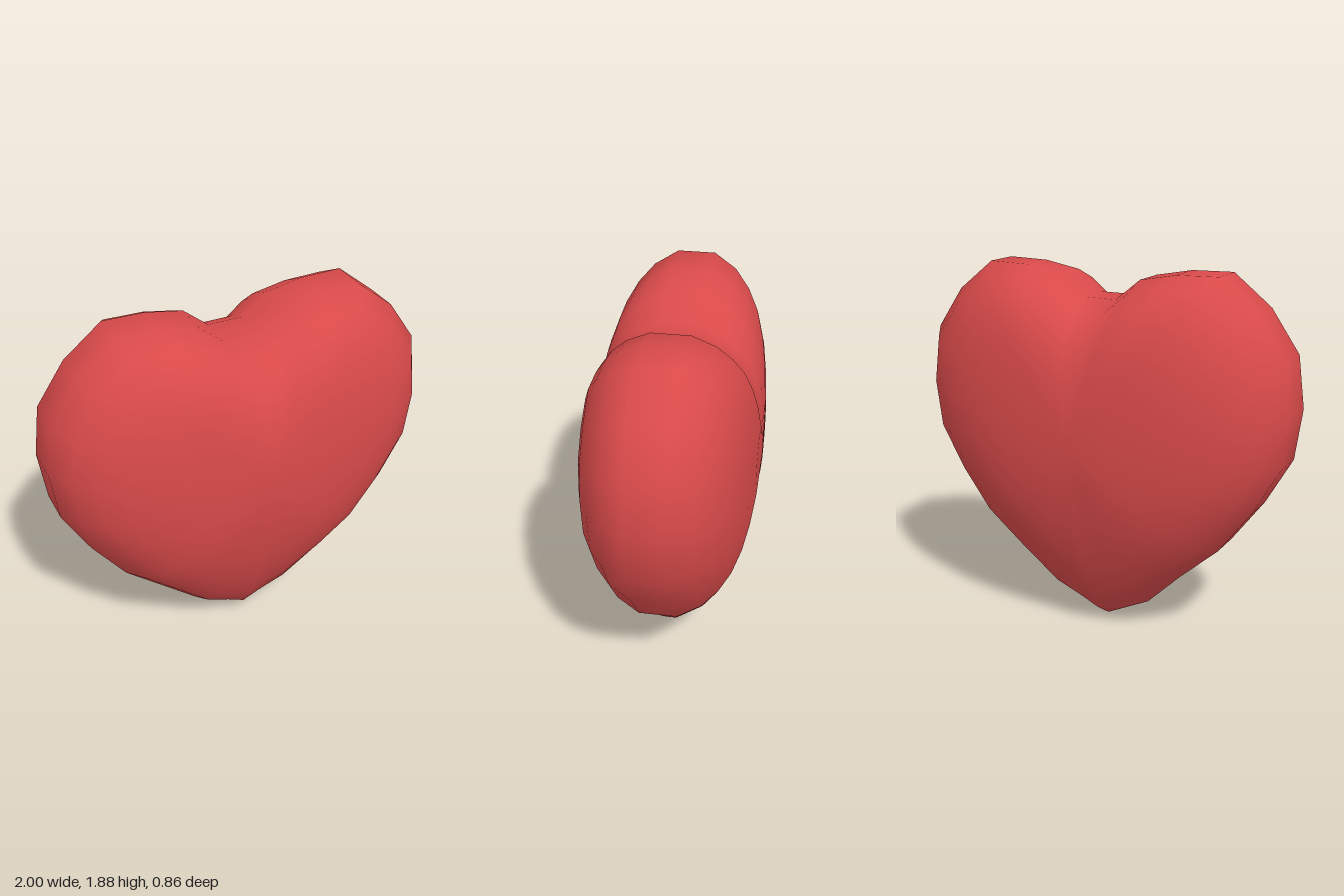
import * as THREE from 'three';
import { mergeVertices } from 'three/addons/utils/BufferGeometryUtils.js';

// Right half of the outline, from the bottom tip round to the notch
const HALF = [[0, 0], [0.1, 0.05], [0.25, 0.13], [0.45, 0.33], [0.66, 0.52], [0.83, 0.75], [0.965, 0.99],
  [1, 1.25], [0.965, 1.51], [0.82, 1.72], [0.625, 1.875], [0.41, 1.87], [0.22, 1.835], [0.09, 1.73]];
const CENTRE_Y = 1.08;

// Shrinking rings: scale, half thickness towards the lobes, half thickness towards the tip
const RINGS = [[0, 0.43, 0.43], [0.25, 0.422, 0.4], [0.43, 0.405, 0.36], [0.58, 0.38, 0.31],
  [0.72, 0.34, 0.25], [0.83, 0.285, 0.185], [0.925, 0.21, 0.12], [1, 0.095, 0]];

function puffedHeart() {
  const outline = [...HALF, ...HALF.slice(1).reverse().map(([x, y]) => [-x, y])];
  const n = outline.length;
  // Rings run from the front pole over the rim to the back pole
  const layers = [...RINGS.map((r) => [...r, 1]), ...[...RINGS].reverse().map((r) => [...r, -1])];
  const positions = [];
  const index = [];
  layers.forEach(([scale, side, tip, sign]) => {
    for (const [x, y] of outline) {
      const dy = y - CENTRE_Y;
      const towardsTip = Math.pow(Math.max(0, -dy / Math.hypot(x, dy)), 10);
      positions.push(x * scale, CENTRE_Y + dy * scale, sign * THREE.MathUtils.lerp(side, tip, towardsTip));
    }
  });
  for (let j = 0; j < layers.length - 1; j++) {
    for (let i = 0; i < n; i++) {
      const k = (i + 1) % n;
      const a = j * n + i, b = j * n + k, c = a + n, d = b + n;
      if (j > 0) index.push(a, d, b);
      if (j < layers.length - 2) index.push(a, c, d);
    }
  }
  const geometry = new THREE.BufferGeometry();
  geometry.setAttribute('position', new THREE.Float32BufferAttribute(positions, 3));
  geometry.setIndex(index);
  const merged = mergeVertices(geometry, 1e-4);
  merged.computeVertexNormals();
  return merged;
}

export function createModel() {
  const group = new THREE.Group();
  group.name = 'heart';
  const body = new THREE.Mesh(puffedHeart(), new THREE.MeshStandardMaterial({ color: 0xd94a4a }));
  body.name = 'heartBody';
  group.add(body);
  return group;
}
